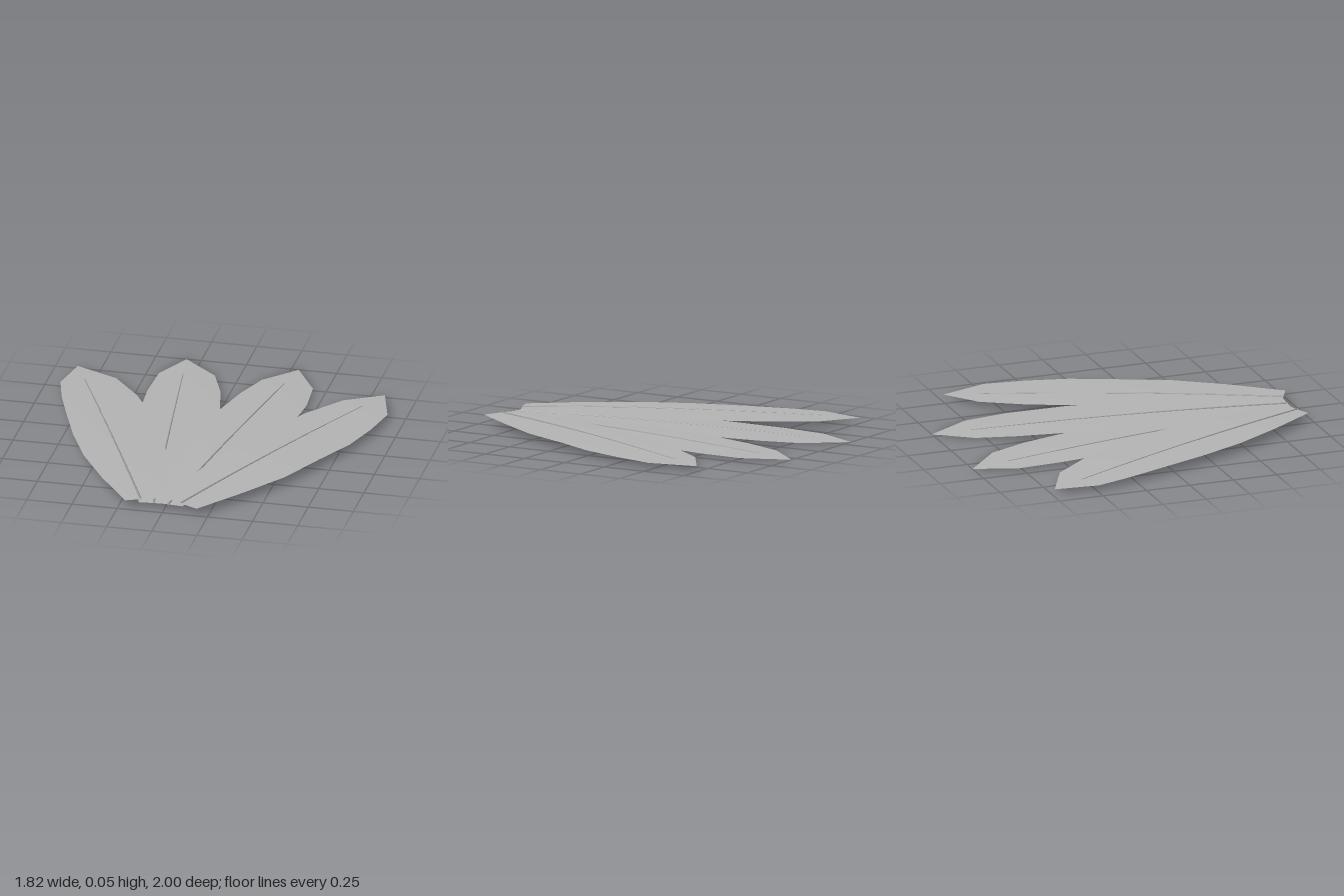
import * as THREE from 'three';

// Each feather: outline edges run from base to shoulder as [x, z]; the axis runs base to tip.
const FEATHERS = [
  {
    name: 'outerRightFeather', outer: true, base: [-0.13, 0.95], tip: [-0.87, -0.73],
    left: [[-0.21, 0.98], [-0.4, 0.72], [-0.56, 0.46], [-0.68, 0.2], [-0.78, -0.07], [-0.86, -0.3], [-0.91, -0.49]],
    right: [[-0.02, 0.9], [-0.06, 0.62], [-0.12, 0.36], [-0.21, 0.1], [-0.31, -0.13], [-0.47, -0.41], [-0.63, -0.61]],
  },
  {
    name: 'outerLeftFeather', outer: true, base: [0.09, 0.95], tip: [0.83, -0.73],
    left: [[0.01, 0.91], [0.04, 0.68], [0.11, 0.44], [0.2, 0.2], [0.32, -0.05], [0.47, -0.37], [0.63, -0.6]],
    right: [[0.19, 1.0], [0.39, 0.74], [0.56, 0.49], [0.69, 0.21], [0.8, -0.02], [0.865, -0.25], [0.905, -0.47]],
  },
  {
    name: 'innerRightFeather', base: [-0.06, 0.95], tip: [-0.33, -1],
    left: [[-0.14, 0.955], [-0.22, 0.7], [-0.31, 0.4], [-0.37, 0.1], [-0.41, -0.18], [-0.435, -0.52], [-0.43, -0.77]],
    right: [[0, 0.945], [0.07, 0.66], [0.085, 0.35], [0.065, 0.04], [0.03, -0.24], [-0.05, -0.6], [-0.13, -0.81]],
  },
  {
    name: 'innerLeftFeather', base: [0.02, 0.95], tip: [0.29, -1],
    left: [[-0.03, 0.945], [-0.09, 0.66], [-0.09, 0.35], [-0.06, 0.04], [-0.02, -0.24], [0.06, -0.6], [0.13, -0.81]],
    right: [[0.1, 0.955], [0.21, 0.7], [0.31, 0.4], [0.37, 0.1], [0.42, -0.18], [0.445, -0.52], [0.425, -0.76]],
  },
];

// Lengthwise arch of a feather, t = 0 at the base and 1 at the tip
const arch = (outer, t) => (outer ? 0.05 - 0.06 * (t - 0.33) ** 2 : 0.0337 - 0.065 * (t - 0.28) ** 2);

function makeFeather(f, bladeMaterial, shaftMaterial) {
  const group = new THREE.Group();
  group.name = f.name;
  const base = new THREE.Vector2(...f.base);
  const axis = new THREE.Vector2(...f.tip).sub(base);
  const along = (p) => (p[0] - base.x) * axis.x / axis.lengthSq() + (p[1] - base.y) * axis.y / axis.lengthSq();
  const onAxis = (t) => [base.x + axis.x * t, base.y + axis.y * t];
  // Height falls slightly away from the axis
  const lift = (p) => {
    const t = along(p);
    const c = onAxis(t);
    const d = Math.hypot(p[0] - c[0], p[1] - c[1]);
    return [p[0], arch(f.outer, t) - 0.1 * d * d, p[1]];
  };

  // Blade: rows of left edge, axis and right edge, closing at the tip
  const positions = [];
  const indices = [];
  const left = [...f.left, f.tip];
  const right = [...f.right, f.tip];
  left.forEach((l, i) => {
    const r = right[i];
    const mid = onAxis(along([(l[0] + r[0]) / 2, (l[1] + r[1]) / 2]));
    positions.push(...lift(l), ...lift(mid), ...lift(r));
    if (i === 0) return;
    for (let k = 0; k < 2; k++) {
      const a = (i - 1) * 3 + k;
      indices.push(a, a + 1, a + 4, a, a + 4, a + 3);
    }
  });
  const blade = new THREE.BufferGeometry();
  blade.setAttribute('position', new THREE.Float32BufferAttribute(positions, 3));
  blade.setIndex(indices);
  blade.computeVertexNormals();
  const bladeMesh = new THREE.Mesh(blade, bladeMaterial);
  bladeMesh.name = 'blade';

  // Shaft: thin tapered rod along the axis
  const points = [];
  for (let i = 0; i <= 8; i++) points.push(new THREE.Vector3(...lift(onAxis(i / 8 * 0.89))));
  const curve = new THREE.CatmullRomCurve3(points);
  const segments = 12, sides = 6;
  const shaft = new THREE.TubeGeometry(curve, segments, 0.006, sides);
  const pos = shaft.attributes.position;
  const v = new THREE.Vector3();
  for (let i = 0; i < pos.count; i++) {
    const u = Math.floor(i / (sides + 1)) / segments;
    const c = curve.getPointAt(u);
    v.fromBufferAttribute(pos, i).sub(c).multiplyScalar(1 - 0.6 * u).add(c);
    pos.setXYZ(i, v.x, v.y, v.z);
  }
  const shaftMesh = new THREE.Mesh(shaft, shaftMaterial);
  shaftMesh.name = 'shaft';

  group.add(bladeMesh, shaftMesh);
  return group;
}

export function createModel() {
  const bladeMaterial = new THREE.MeshStandardMaterial({ color: 0xb4b4b4, side: THREE.DoubleSide });
  bladeMaterial.name = 'feather grey';
  const shaftMaterial = new THREE.MeshStandardMaterial({ color: 0x9a9a9a });
  shaftMaterial.name = 'shaft grey';

  const model = new THREE.Group();
  model.name = 'tailFeathers';
  for (const f of FEATHERS) model.add(makeFeather(f, bladeMaterial, shaftMaterial));
  return model;
}
